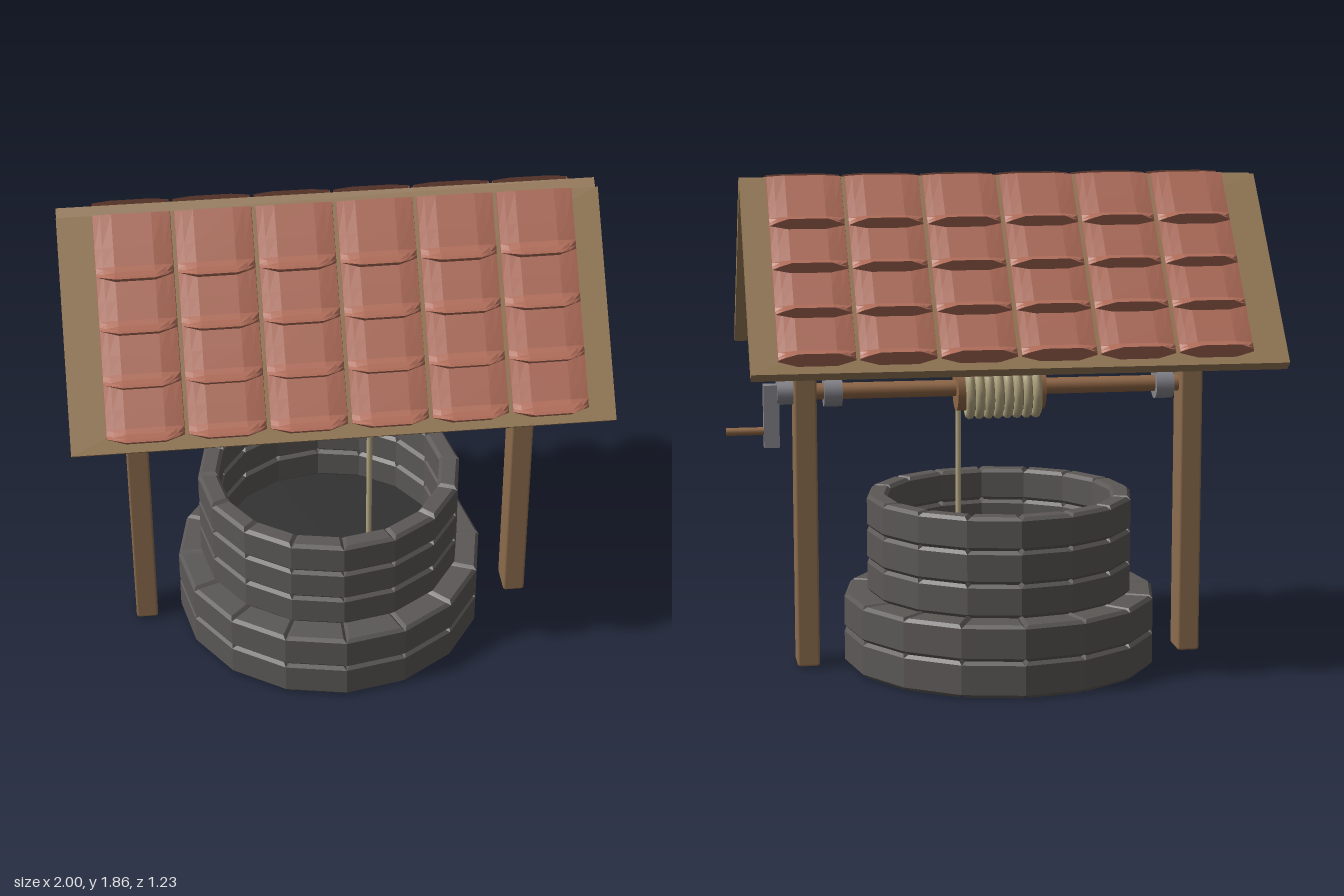
import * as THREE from 'three';
import { RoundedBoxGeometry } from 'three/addons/geometries/RoundedBoxGeometry.js';

const paint = (name, color, extra = {}) => {
  const m = new THREE.MeshStandardMaterial({ color, ...extra });
  m.name = name;
  return m;
};

// One roof tile: nearly flat, with a flared arched lip and a closed lower end.
function tileGeometry(width, length) {
  const across = [[-1, 0, -0.015], [-0.97, 0, 0.01], [-0.78, 0.45, 0.013], [-0.5, 1, 0.017],
    [0.5, 1, 0.017], [0.78, 0.45, 0.013], [0.97, 0, 0.01], [1, 0, -0.015]];
  const along = [[0, 0], [0.5, 0.06], [0.78, 0.08], [0.87, 0.28], [0.95, 0.65], [1, 1], [1, -1]];
  const pos = [], index = [];
  along.forEach(([t, flare]) => across.forEach(([u, arch, base]) => {
    const round = t > 0.8 ? 0.022 * Math.max(0, Math.abs(u) - 0.5) / 0.5 : 0;
    const h = flare < 0 ? -0.015 : base + 0.066 * flare * arch;
    pos.push(u * width / 2, h, t * length - round);
  }));
  const n = across.length;
  for (let j = 0; j < along.length - 1; j++) for (let i = 0; i < n - 1; i++) {
    const a = j * n + i, b = a + n;
    index.push(a, b, a + 1, b, b + 1, a + 1);
  }
  const g = new THREE.BufferGeometry();
  g.setAttribute('position', new THREE.Float32BufferAttribute(pos, 3));
  g.setIndex(index);
  const flat = g.toNonIndexed();
  flat.computeVertexNormals();
  return flat;
}

// One wedge-shaped stone with chamfered edges, standing on y = 0.
function stoneGeometry(inner, outer, height, count) {
  const half = Math.PI / count, c = Math.cos(half), s = Math.sin(half);
  const shape = new THREE.Shape([
    new THREE.Vector2(inner * c, -inner * s), new THREE.Vector2(outer * c, -outer * s),
    new THREE.Vector2(outer * c, outer * s), new THREE.Vector2(inner * c, inner * s)]);
  const bevel = 0.013;
  const g = new THREE.ExtrudeGeometry(shape, {
    depth: height - 2 * bevel, bevelEnabled: true, bevelSegments: 1,
    bevelSize: bevel, bevelThickness: bevel, bevelOffset: -bevel, steps: 1 });
  return g.translate(0, 0, bevel).rotateX(-Math.PI / 2);
}

export function createModel() {
  const model = new THREE.Group();
  model.name = 'well';
  const stone = paint('stone', 0x5b5856);
  const dark = paint('dark well floor', 0x323232, { side: THREE.DoubleSide });
  const postWood = paint('post wood', 0x8c6c4d);
  const boardWood = paint('roof board wood', 0x967955);
  const axleWood = paint('axle wood', 0x8f6645);
  const tileClay = paint('tile clay', 0xb06d5a, { side: THREE.DoubleSide });
  const metal = paint('metal', 0x84848b);
  const rope = paint('rope', 0xb3a782);

  const add = (name, geometry, material, x = 0, y = 0, z = 0, parent = model) => {
    const m = new THREE.Mesh(geometry, material);
    m.name = name;
    m.position.set(x, y, z);
    parent.add(m);
    return m;
  };
  const midX = -0.0325;

  // Stone rings
  const wall = new THREE.Group();
  wall.name = 'stoneWall';
  wall.position.x = midX;
  model.add(wall);
  const count = 16;
  const ring = (name, inner, outer, y0, height, rows) => {
    const g = stoneGeometry(inner, outer, height, count);
    for (let r = 0; r < rows; r++) for (let i = 0; i < count; i++) {
      add(name, g, stone, 0, y0 + r * height, 0, wall).rotation.y = (i + 0.5) * 2 * Math.PI / count;
    }
  };
  ring('baseStone', 0.435, 0.597, 0, 0.136, 2);
  ring('rimStone', 0.43, 0.508, 0.275, 0.125, 3);
  add('wellFloor', new THREE.CircleGeometry(0.46, 32).rotateX(-Math.PI / 2), dark, 0, 0.272, 0, wall);

  // Posts and ridge beam
  for (const x of [-0.767, 0.707]) {
    add('post', new RoundedBoxGeometry(0.085, 1.685, 0.128, 1, 0.01), postWood, x, 0.8475, 0);
  }
  add('ridgeBeam', new THREE.BoxGeometry(1.64, 0.075, 0.084), postWood, midX, 1.7175, 0);

  // Axle, drum, collars and crank, all along x
  const axleY = 1.05;
  const rod = (name, radius, x0, x1, material, y = axleY, sides = 24) =>
    add(name, new THREE.CylinderGeometry(radius, radius, x1 - x0, sides).rotateZ(Math.PI / 2),
      material, (x0 + x1) / 2, y, 0);
  rod('axle', 0.031, -0.77, 0.77, axleWood);
  rod('drum', 0.086, -0.2, 0.135, axleWood);
  rod('collar', 0.058, -0.7, -0.632, metal);
  rod('collar', 0.058, 0.567, 0.635, metal);
  rod('crankHub', 0.047, 0.745, 0.81, metal);
  add('crankArm', new THREE.BoxGeometry(0.058, 0.235, 0.056), metal, 0.831, 0.9625, 0);
  rod('crankHandle', 0.015, 0.85, 1, axleWood, 0.905, 16);

  // Rope wound round the drum, then hanging into the well
  const turns = 8, coil = [];
  for (let i = 0; i <= turns * 16; i++) {
    const a = i / 16 * 2 * Math.PI;
    coil.push(new THREE.Vector3(-0.18 + 0.29 * i / (turns * 16),
      axleY - 0.103 * Math.sin(a), 0.103 * Math.cos(a)));
  }
  add('ropeCoil', new THREE.TubeGeometry(new THREE.CatmullRomCurve3(coil), 300, 0.0175, 8), rope);
  add('hangingRope', new THREE.CylinderGeometry(0.011, 0.011, 0.78, 10), rope, 0.11, 0.665, 0.103);

  // Two mirrored roof slopes; each is laid out flat, then tilted
  const tile = tileGeometry(0.28, 0.24);
  const pitchX = 0.2875, pitchZ = 0.19;
  for (const front of [true, false]) {
    const side = new THREE.Group();
    side.name = front ? 'frontRoof' : 'backRoof';
    side.position.x = midX;
    side.rotation.y = front ? 0 : Math.PI;
    const slope = new THREE.Group();
    slope.name = 'roofSlope';
    slope.position.set(0, 1.848, 0.034);
    slope.rotation.x = 0.876;
    side.add(slope);
    model.add(side);
    add('roofBoard', new THREE.BoxGeometry(1.935, 0.045, 0.84), boardWood, 0, -0.0225, 0.42, slope);
    const shift = front ? 0.015 : -0.015;
    for (let r = 0; r < 4; r++) for (let c = 0; c < 6; c++) {
      add('roofTile', tile, tileClay, (c - 2.5) * pitchX + shift, 0, r * pitchZ, slope);
    }
  }
  return model;
}
